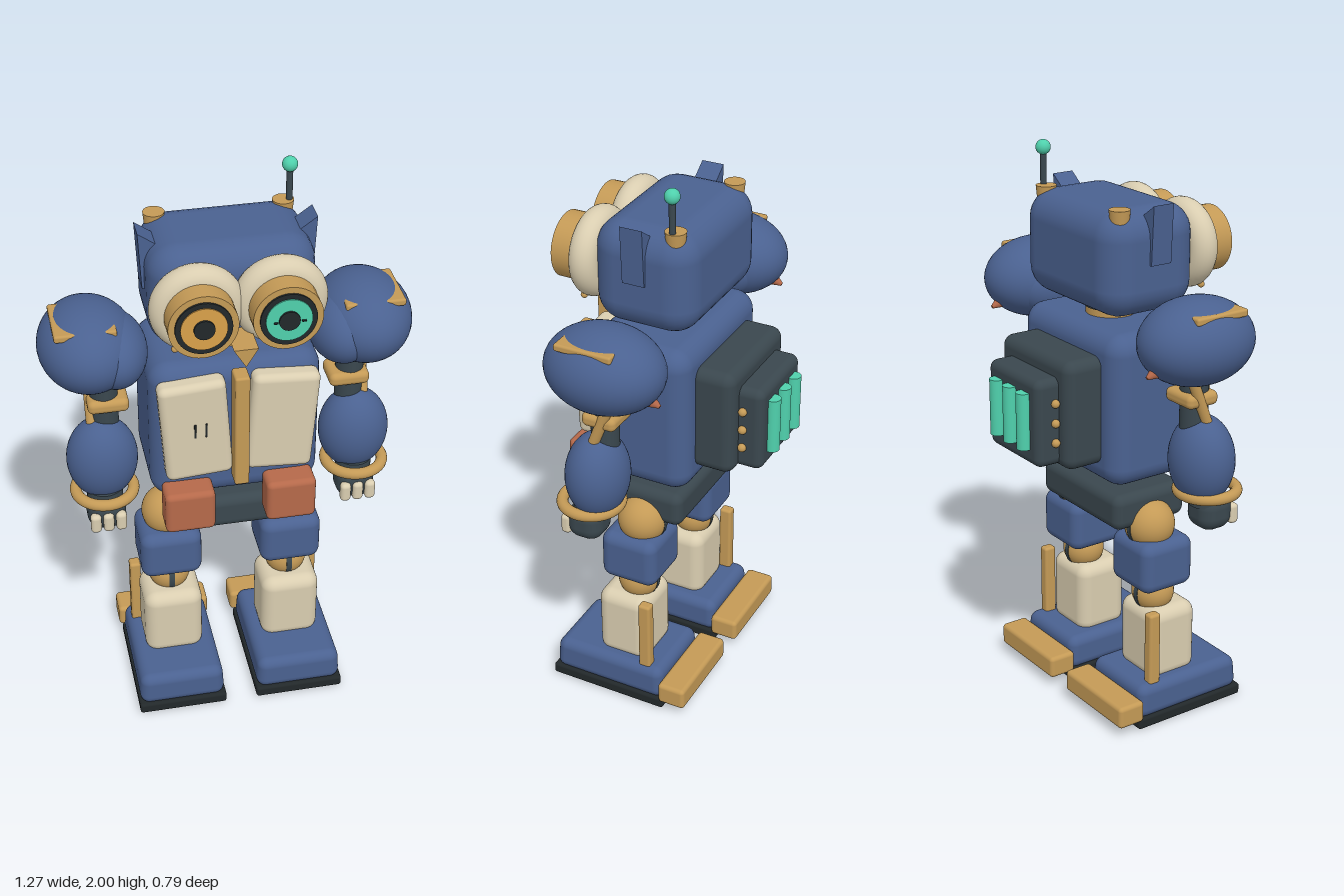
import * as THREE from 'three';
import { RoundedBoxGeometry } from 'three/addons/geometries/RoundedBoxGeometry.js';

const mat = (color) => new THREE.MeshStandardMaterial({ color });
const BLUE = mat(0x4a6190), CREAM = mat(0xd9cdb0), GOLD = mat(0xc49a56), DARK = mat(0x3a474e);
const TEAL = mat(0x4fd0ac), COPPER = mat(0xb5694a), BLACK = mat(0x22282a), AMBER = mat(0xd9a04a);

function add(parent, name, geo, material, x, y, z) {
  const m = new THREE.Mesh(geo, material);
  m.name = name;
  m.position.set(x, y, z);
  parent.add(m);
  return m;
}
const box = (p, name, material, x, y, z, w, h, d, r = 0.02) =>
  add(p, name, new RoundedBoxGeometry(w, h, d, 4, r), material, x, y, z);
function ball(p, name, material, x, y, z, rx, ry = rx, rz = rx) {
  const m = add(p, name, new THREE.SphereGeometry(1, 40, 28), material, x, y, z);
  m.scale.set(rx, ry, rz);
  return m;
}
// Cylinder along y, or along another axis when given
function rod(p, name, material, x, y, z, r, h, axis = 'y', rTop = r) {
  const g = new THREE.CylinderGeometry(rTop, r, h, 40);
  if (axis === 'z') g.rotateX(Math.PI / 2);
  if (axis === 'x') g.rotateZ(Math.PI / 2);
  return add(p, name, g, material, x, y, z);
}
// Flat outline extruded along z
function plate(p, name, material, points, z, depth) {
  const shape = new THREE.Shape(points.map(([x, y]) => new THREE.Vector2(x, y)));
  return add(p, name, new THREE.ExtrudeGeometry(shape, { depth, bevelEnabled: false }), material, 0, 0, z);
}
function group(parent, name) {
  const g = new THREE.Group();
  g.name = name;
  parent.add(g);
  return g;
}

function buildHead(root) {
  const g = group(root, 'head');
  box(g, 'skull', BLUE, 0, 1.66, 0.03, 0.55, 0.365, 0.37, 0.1);
  rod(g, 'neck', GOLD, 0, 1.45, 0.04, 0.088, 0.1);
  rod(g, 'neckCollar', DARK, 0, 1.468, 0.04, 0.092, 0.02);
  plate(g, 'beak', GOLD, [[-0.04, 1.578], [0, 1.512], [0.04, 1.578]], 0.24, 0.13);
  for (const s of [-1, 1]) {
    const x = s * 0.135, y = 1.675;
    const pts = [[s * 0.293, 1.862], [s * 0.22, 1.81], [s * 0.225, 1.66], [s * 0.283, 1.66]];
    plate(g, 'ear', BLUE, pts, 0, 0.08);
    rod(g, 'hornBase', GOLD, s * 0.215, 1.795, -0.08, 0.026, 0.105, 'y', 0.036);
    // Eye: soft surround, barrel, dark rim, iris and pupil
    add(g, 'eyeSurround', new THREE.TorusGeometry(0.105, 0.05, 24, 56), CREAM, x, y, 0.245);
    rod(g, 'eyeBarrel', GOLD, x, y, 0.285, 0.113, 0.16, 'z');
    rod(g, 'eyeRim', BLACK, x, y, 0.36, 0.092, 0.024, 'z');
    rod(g, 'iris', s > 0 ? TEAL : AMBER, x, y, 0.362, 0.075, 0.028, 'z');
    rod(g, 'pupil', BLACK, x, y, 0.368, 0.034, 0.03, 'z');
    ball(g, 'faceRivet', GOLD, s * 0.21, 1.54, 0.265, 0.012);
  }
  for (const dx of [-0.045, 0.045])
    box(g, 'irisTick', BLACK, 0.135 + dx, 1.675, 0.386, 0.014, 0.004, 0.008, 0.001);
  rod(g, 'antennaRod', DARK, 0.235, 1.89, -0.078, 0.011, 0.15);
  ball(g, 'antennaTip', TEAL, 0.235, 1.974, -0.078, 0.026);
}

function buildTorso(root) {
  const g = group(root, 'torso');
  box(g, 'body', BLUE, 0, 1.163, 0.045, 0.58, 0.54, 0.385, 0.07);
  box(g, 'chestBar', GOLD, 0, 1.218, 0.29, 0.05, 0.435, 0.07, 0.008);
  box(g, 'pelvis', DARK, 0, 0.775, 0.05, 0.47, 0.13, 0.3, 0.035);
  for (const s of [-1, 1]) {
    const panel = box(g, 'chestPanel', CREAM, s * 0.147, 1.21, 0.252, 0.228, 0.378, 0.075, 0.025);
    panel.rotation.z = -s * 0.07;
    box(g, 'beltPouch', COPPER, s * 0.175, 0.9, 0.272, 0.172, 0.16, 0.105, 0.02);
  }
  for (const x of [-0.152, -0.115]) box(g, 'panelSlot', BLACK, x, 1.22, 0.288, 0.007, 0.055, 0.008, 0.002);
  // Backpack with glowing tubes and side rivets
  const b = group(root, 'backpack');
  box(b, 'packBase', DARK, 0, 1.163, -0.2, 0.42, 0.385, 0.165, 0.04);
  box(b, 'packCover', DARK, 0, 1.14, -0.31, 0.312, 0.31, 0.115, 0.03);
  for (const x of [-0.083, 0, 0.083]) rod(b, 'packTube', TEAL, x, 1.145, -0.375, 0.026, 0.2);
  for (const s of [-1, 1])
    for (const y of [1.07, 1.14, 1.21]) ball(b, 'packRivet', GOLD, s * 0.16, y, -0.298, 0.015);
}

function buildArm(root, s) {
  const g = group(root, s > 0 ? 'leftArm' : 'rightArm');
  ball(g, 'shoulderPad', BLUE, s * 0.467, 1.45, 0.045, 0.167, 0.147, 0.208);
  ball(g, 'shoulderJoint', BLUE, s * 0.385, 1.435, 0.07, 0.113, 0.12, 0.165);
  box(g, 'shoulderTrim', GOLD, s * 0.482, 1.552, 0.062, 0.205, 0.026, 0.205, 0.008);
  const spike = rod(g, 'shoulderSpike', COPPER, s * 0.47, 1.37, -0.13, 0.028, 0.05, 'y', 0.006);
  spike.rotation.x = -Math.PI / 2 - 0.4;
  rod(g, 'upperArm', DARK, s * 0.425, 1.23, 0.075, 0.048, 0.24);
  box(g, 'elbowClamp', GOLD, s * 0.415, 1.24, 0.073, 0.14, 0.05, 0.125, 0.02);
  const piston = rod(g, 'armPiston', GOLD, s * 0.472, 1.23, 0.065, 0.019, 0.22);
  piston.rotation.x = -0.37;
  ball(g, 'forearm', BLUE, s * 0.443, 1.018, 0.098, 0.123, 0.157, 0.108);
  const ring = new THREE.TorusGeometry(0.1, 0.02, 16, 48).rotateX(Math.PI / 2);
  add(g, 'wristRing', ring, GOLD, s * 0.443, 0.902, 0.125);
  rod(g, 'wrist', DARK, s * 0.443, 0.88, 0.125, 0.062, 0.06);
  box(g, 'hand', DARK, s * 0.443, 0.825, 0.137, 0.135, 0.13, 0.13, 0.05);
  for (const dx of [-0.044, 0, 0.044])
    box(g, 'finger', CREAM, s * (0.443 + dx), 0.81, 0.2, 0.037, 0.072, 0.036, 0.014);
}

function buildLeg(root, s) {
  const g = group(root, s > 0 ? 'leftLeg' : 'rightLeg');
  const x = s * 0.218;
  ball(g, 'hipJoint', GOLD, x, 0.71, 0.052, 0.09);
  rod(g, 'hipBand', DARK, x, 0.71, 0.052, 0.091, 0.02, 'x');
  box(g, 'thigh', BLUE, x, 0.577, 0.065, 0.22, 0.19, 0.215, 0.04);
  ball(g, 'kneeJoint', GOLD, x, 0.445, 0.07, 0.076);
  rod(g, 'kneeBand', DARK, x, 0.445, 0.07, 0.077, 0.02, 'x');
  box(g, 'shin', CREAM, x, 0.27, 0.093, 0.212, 0.275, 0.2, 0.045);
  box(g, 'shinStrut', GOLD, s * 0.333, 0.285, -0.015, 0.04, 0.275, 0.046, 0.01);
  // Foot: block drawn in slightly toward its top
  const foot = new RoundedBoxGeometry(0.315, 0.125, 0.445, 4, 0.035);
  const p = foot.attributes.position;
  for (let i = 0; i < p.count; i++) {
    const k = 1 - 0.04 * (p.getY(i) / 0.125 + 0.5);
    p.setX(i, p.getX(i) * k);
    p.setZ(i, p.getZ(i) * k);
  }
  add(g, 'foot', foot, BLUE, x, 0.095, 0.127);
  box(g, 'sole', BLACK, x, 0.022, 0.127, 0.322, 0.042, 0.455, 0.01);
  box(g, 'heel', GOLD, x, 0.08, -0.14, 0.345, 0.082, 0.105, 0.015);
}

export function createModel() {
  const root = new THREE.Group();
  root.name = 'robot';
  buildHead(root);
  buildTorso(root);
  for (const s of [-1, 1]) {
    buildArm(root, s);
    buildLeg(root, s);
  }
  return root;
}
